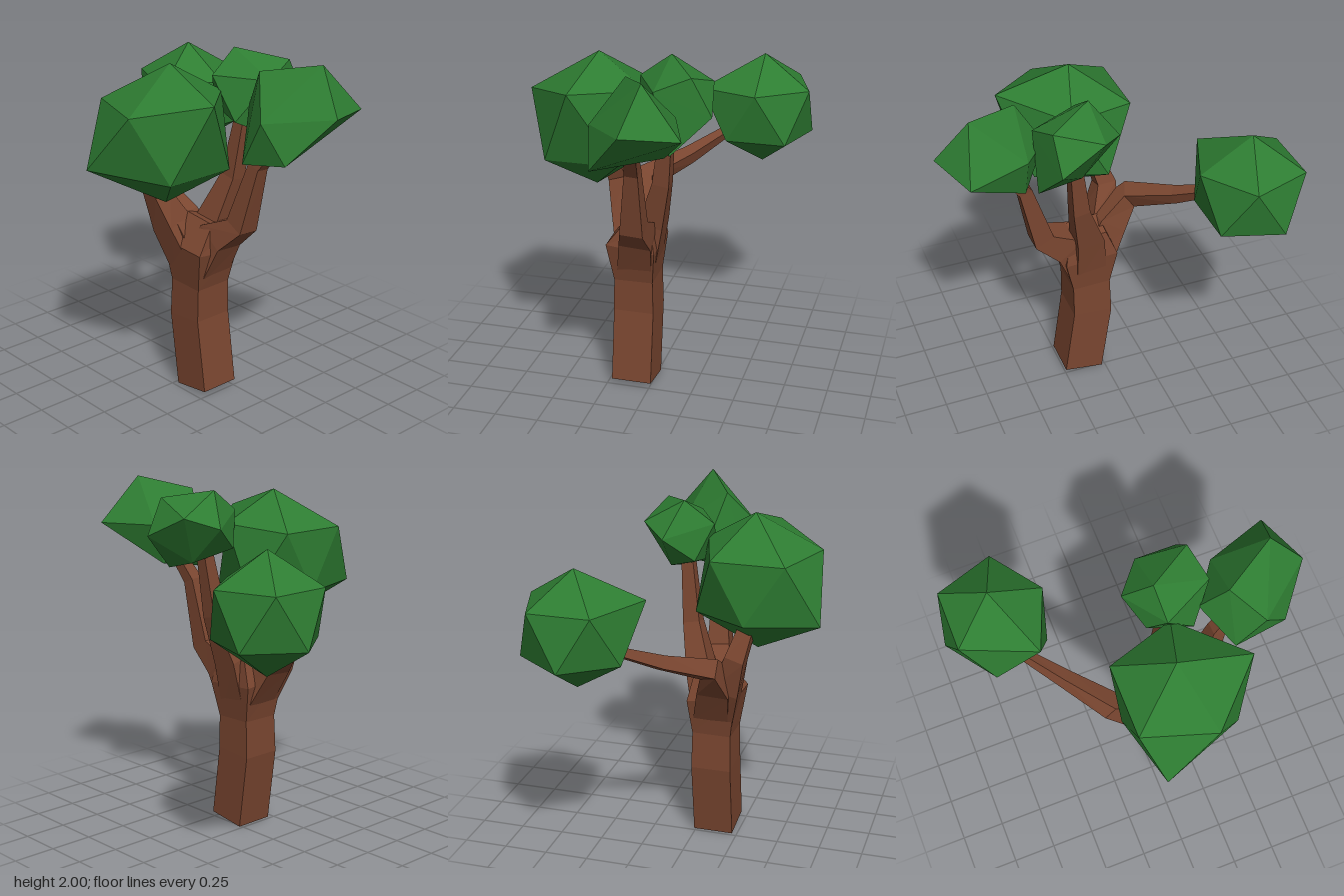
import * as THREE from 'three';
import { ConvexGeometry } from 'three/addons/geometries/ConvexGeometry.js';

const bark = new THREE.MeshStandardMaterial({ color: 0x7a4630, flatShading: true });
const leaf = new THREE.MeshStandardMaterial({ color: 0x2e7d32, flatShading: true });

// Four-sided limb through rings of [x, y, z, half width, half depth]
function limb(name, rings) {
  const path = rings.map(([x, y, z]) => new THREE.Vector3(x, y, z));
  const last = rings.length - 1;
  const pos = [], index = [];
  rings.forEach(([, , , w, d = w], i) => {
    const t = path[Math.min(i + 1, last)].clone().sub(path[Math.max(i - 1, 0)]).normalize();
    const u = t.clone().cross(new THREE.Vector3(0, 0, 1)).normalize();
    const v = u.clone().cross(t);
    for (const [a, b] of [[1, 1], [1, -1], [-1, -1], [-1, 1]]) {
      pos.push(...path[i].clone().addScaledVector(u, a * w).addScaledVector(v, b * d).toArray());
    }
    if (i === last) return;
    for (let k = 0; k < 4; k++) {
      const a = i * 4 + k, b = i * 4 + (k + 1) % 4;
      index.push(a, b, b + 4, a, b + 4, a + 4);
    }
  });
  const e = last * 4;
  index.push(0, 2, 1, 0, 3, 2, e, e + 1, e + 2, e, e + 2, e + 3);
  const indexed = new THREE.BufferGeometry();
  indexed.setAttribute('position', new THREE.Float32BufferAttribute(pos, 3));
  indexed.setIndex(index);
  const geo = indexed.toNonIndexed();
  geo.computeVertexNormals();
  const mesh = new THREE.Mesh(geo, bark);
  mesh.name = name;
  return mesh;
}

// Corners of a twenty-sided ball with upright poles.
// pulled moves single corners: 0-1 poles, 2-6 upper ring, 7-11 lower ring.
function ballCorners([x, y, z], r, pulled) {
  const h = r / Math.sqrt(5), ring = 2 * h;
  const corners = [[x, y + r, z], [x, y - r, z]];
  for (const [level, start] of [[h, 0], [-h, Math.PI / 5]]) {
    for (let k = 0; k < 5; k++) {
      const a = start + k * Math.PI * 0.4;
      corners.push([x + ring * Math.cos(a), y + level, z + ring * Math.sin(a)]);
    }
  }
  return corners.map((c, i) => pulled[i] ?? c);
}

// Faceted leaf clump around its corners
function canopy(name, corners) {
  const mesh = new THREE.Mesh(new ConvexGeometry(corners.map((c) => new THREE.Vector3(...c))), leaf);
  mesh.name = name;
  return mesh;
}

export function createModel() {
  const tree = new THREE.Group();
  tree.name = 'tree';

  // Leaning trunk, swelling where the branches leave it
  tree.add(limb('trunk', [
    [0.135, 0.018, 0.105, 0.116], [0.075, 0.445, 0.105, 0.116], [0.08, 0.65, 0.105, 0.112],
    [0.085, 0.87, 0.11, 0.155, 0.14], [0.1, 1.02, 0.065, 0.11, 0.07],
  ]));

  // Branches
  tree.add(limb('rightBranch', [
    [0.05, 0.78, 0.1, 0.1], [-0.07, 0.99, 0.14, 0.09], [-0.21, 1.13, 0.14, 0.055],
    [-0.4, 1.22, -0.07, 0.037], [-0.58, 1.33, -0.26, 0.023],
  ]));
  tree.add(limb('frontBranch', [
    [0.07, 0.7, 0.12, 0.09], [-0.05, 0.98, 0.2, 0.08], [-0.1, 1.17, 0.265, 0.055], [-0.04, 1.36, 0.32, 0.04],
  ]));
  tree.add(limb('leftBranch', [
    [0.1, 0.72, 0.1, 0.1], [0.21, 0.95, 0.07, 0.09], [0.36, 1.05, 0.05, 0.06, 0.065],
    [0.455, 1.41, 0.025, 0.038], [0.56, 1.55, 0, 0.03],
  ]));
  tree.add(limb('backBranch', [
    [0.08, 0.72, 0.08, 0.09], [0.1, 1, 0.01, 0.08, 0.07], [0.17, 1.26, -0.06, 0.048], [0.21, 1.62, -0.1, 0.033],
  ]));

  // Leaf clumps
  tree.add(canopy('rightCanopy', ballCorners([-0.655, 1.463, -0.453], 0.328, { 3: [-0.495, 1.6, -0.117] })));
  tree.add(canopy('frontCanopy', ballCorners([0.075, 1.568, 0.345], 0.39, {
    0: [0.085, 1.95, 0.318], 2: [0.49, 1.815, 0.37], 6: [0.17, 1.77, 0.03],
    8: [-0.115, 1.4, 0.73], 9: [-0.218, 1.395, 0.33],
  })));
  tree.add(canopy('leftCanopy', [
    [0.77, 2, -0.117], [0.48, 1.94, 0.05], [0.947, 1.767, -0.044], [0.84, 1.74, -0.34], [0.645, 1.724, 0.196],
    [0.345, 1.72, -0.01], [0.497, 1.75, -0.22], [0.787, 1.523, 0.158], [0.5, 1.523, -0.16], [0.495, 1.466, 0.18],
  ]));
  tree.add(canopy('backCanopy', [
    [0.127, 1.974, -0.1], [0.38, 1.925, -0.27], [0.115, 1.84, -0.33], [0.37, 1.72, -0.38],
    [-0.018, 1.78, -0.184], [0.14, 1.85, 0.07], [0.43, 1.85, -0.08], [0.434, 1.51, -0.17],
    [0.2, 1.57, -0.2], [0.3, 1.62, 0.05], [0.06, 1.65, -0.02],
  ]));
  return tree;
}
